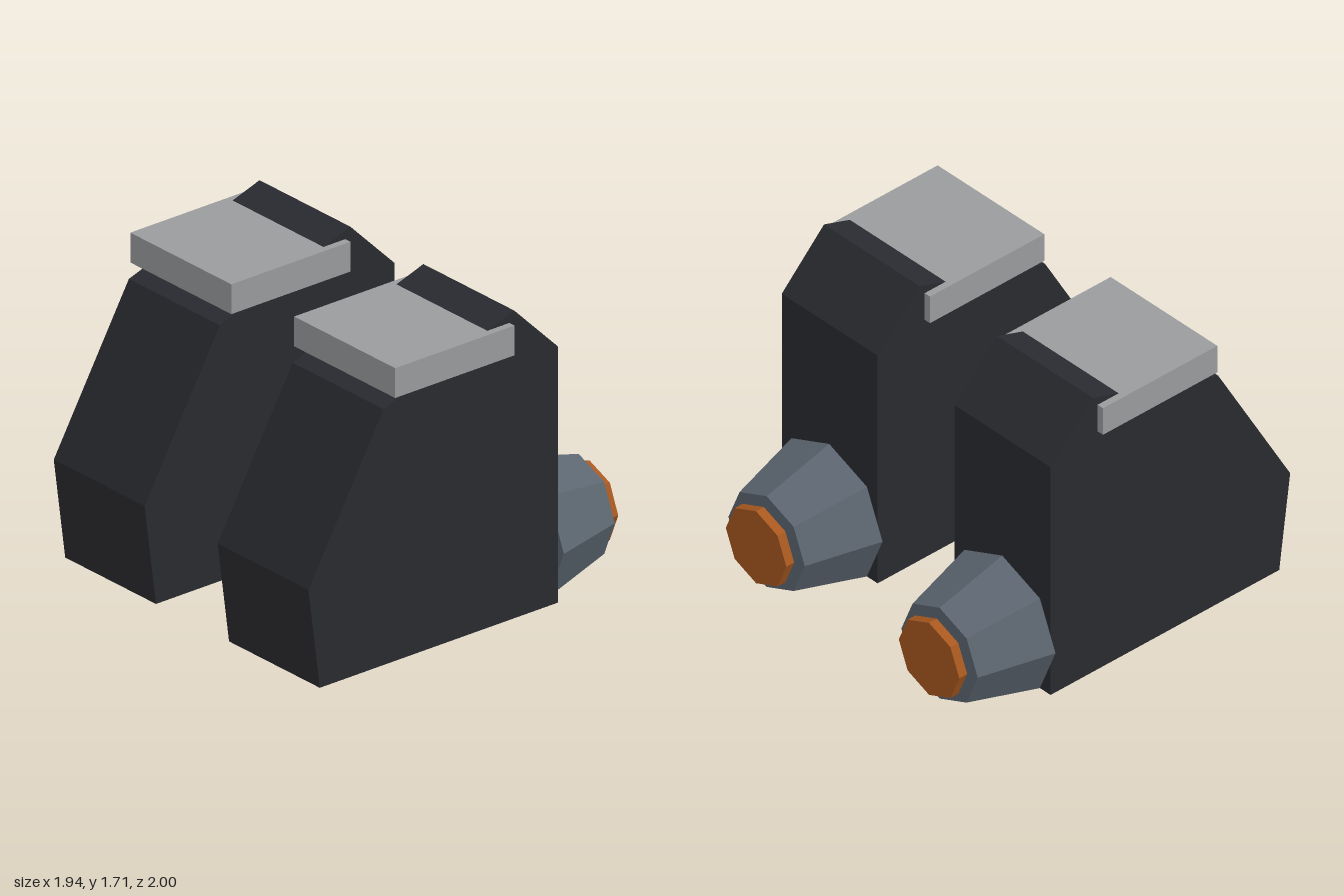
import * as THREE from 'three';

const material = (color) => new THREE.MeshStandardMaterial({ color, flatShading: true });

export function createModel() {
  const model = new THREE.Group();
  const dark = material(0x2a2b30);
  const plateGrey = material(0x9a9c9e);
  const steel = material(0x5c6670);
  const orange = material(0xa8581f);

  // side profile as (z, y), extruded across the width
  const width = 0.665;
  const profile = [[0.93, 0.11], [1, 0.64], [0.54, 1.44], [-0.26, 1.71], [-0.53, 1.44], [-0.53, 0.11]];
  const shape = new THREE.Shape(profile.map(([z, y]) => new THREE.Vector2(-z, y)));
  const bodyGeometry = new THREE.ExtrudeGeometry(shape, { depth: width, bevelEnabled: false });
  bodyGeometry.translate(0, 0, -width / 2).rotateY(Math.PI / 2);

  const plateGeometry = new THREE.BoxGeometry(0.74, 0.155, 0.73);

  // eight-sided parts along z; the first radius is the rear end
  const octagon = (rearRadius, frontRadius, length) =>
    new THREE.CylinderGeometry(rearRadius, frontRadius, length, 8).rotateX(-Math.PI / 2);
  const nozzleGeometry = octagon(0.265, 0.37, 0.4);
  const burnerGeometry = octagon(0.21, 0.21, 0.05);

  for (const [side, x] of [['left', 0.6], ['right', -0.6]]) {
    const unit = new THREE.Group();
    unit.name = side + 'Unit';
    unit.position.x = x;
    const add = (name, geometry, mat, y, z) => {
      const mesh = new THREE.Mesh(geometry, mat);
      mesh.name = side + name;
      mesh.position.set(0, y, z);
      unit.add(mesh);
    };
    add('Body', bodyGeometry, dark, 0, 0);
    add('TopPlate', plateGeometry, plateGrey, 1.577, 0.135);
    add('Nozzle', nozzleGeometry, steel, 0.375, -0.733);
    add('BurnerDisc', burnerGeometry, orange, 0.375, -0.975);
    model.add(unit);
  }
  return model;
}
